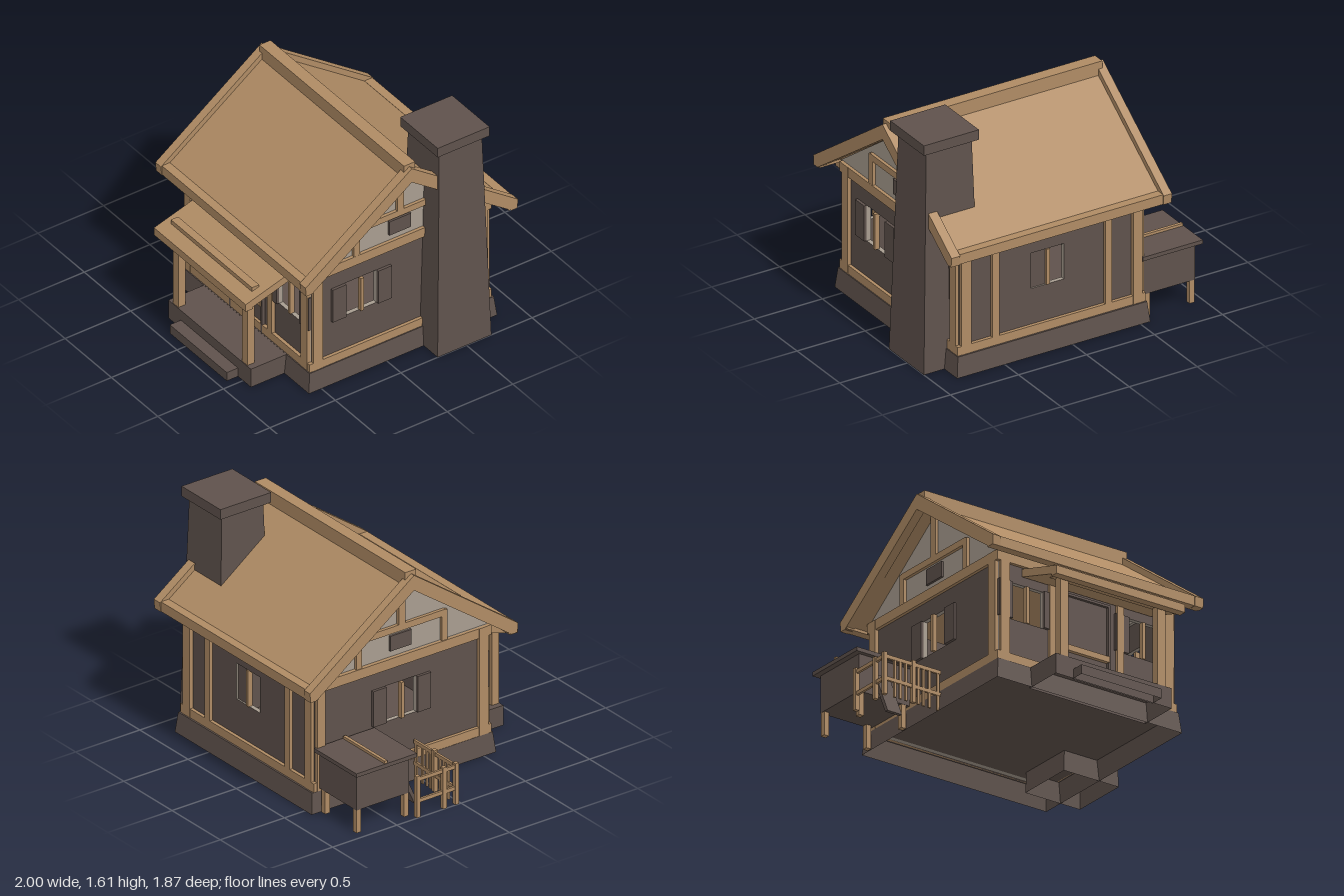
import * as THREE from 'three';

const paint = (name, color) => {
  const m = new THREE.MeshStandardMaterial({ color });
  m.name = name;
  return m;
};

export function createModel() {
  const house = new THREE.Group();
  house.name = 'cottage';
  const wood = paint('timber', 0xaf8b64);
  const stone = paint('dark stone', 0x5f524c);
  stone.side = THREE.DoubleSide; // the stone base and chimney are open underneath
  const plaster = paint('plaster', 0xa89d90);

  const add = (name, geometry, material, parent = house) => {
    const mesh = new THREE.Mesh(geometry, material);
    mesh.name = name;
    parent.add(mesh);
    return mesh;
  };
  const group = (name) => {
    const g = new THREE.Group();
    g.name = name;
    house.add(g);
    return g;
  };
  // box given by its extents
  const box = (name, mat, x0, x1, y0, y1, z0, z1, parent) => {
    const g = new THREE.BoxGeometry(x1 - x0, y1 - y0, z1 - z0);
    g.translate((x0 + x1) / 2, (y0 + y1) / 2, (z0 + z1) / 2);
    return add(name, g, mat, parent);
  };
  // stone box without a bottom, its top inset on every side
  const hollow = (name, x0, x1, y0, y1, z0, z1, inset = 0) => {
    const { geometry } = box(name, stone, x0, x1, y0, y1, z0, z1);
    const p = geometry.attributes.position;
    for (let i = 0; i < p.count; i++) {
      if (p.getY(i) < (y0 + y1) / 2) continue;
      p.setX(i, p.getX(i) + (p.getX(i) < (x0 + x1) / 2 ? inset : -inset));
      p.setZ(i, p.getZ(i) + (p.getZ(i) < (z0 + z1) / 2 ? inset : -inset));
    }
    const index = Array.from(geometry.index.array);
    index.splice(18, 6);
    geometry.setIndex(index);
    geometry.clearGroups();
    geometry.computeVertexNormals();
  };
  const extrude = (shape, depth) => new THREE.ExtrudeGeometry(shape, { depth, bevelEnabled: false });
  const outline = (pts) => new THREE.Shape(pts.map(([a, b]) => new THREE.Vector2(a, b)));
  // [z, y] profile extruded from x0 to x1
  const across = (shape, x0, x1) => extrude(shape, x1 - x0).rotateY(-Math.PI / 2).translate(x1, 0, 0);

  // Foundation, porch floor, step
  hollow('foundation', -0.57, 0.85, 0, 0.14, -0.84, 0.595, 0.015);
  hollow('porchFloor', -0.305, 0.585, 0, 0.139, 0.57, 0.85);
  hollow('porchStep', -0.17, 0.445, 0, 0.065, 0.84, 0.935);

  // Walls with window openings
  const half = 0.12, sill = 0.45, head = 0.7, thick = 0.03;
  const wallShape = (u0, u1, centres) => {
    const s = outline([[u0, 0.14], [u1, 0.14], [u1, 0.89], [u0, 0.89]]);
    for (const c of centres) {
      const h = [[c - half, sill], [c - half, head], [c + half, head], [c + half, sill]];
      s.holes.push(new THREE.Path(h.map(([a, b]) => new THREE.Vector2(a, b))));
    }
    return s;
  };
  const frontWindows = [-0.31, 0.585], backWindow = 0.155;
  const faces = [stone, plaster];
  add('frontWall', extrude(wallShape(-0.53, 0.805, frontWindows), thick).translate(0, 0, 0.52), faces);
  add('backWall', extrude(wallShape(-0.53, 0.805, [backWindow]), thick).translate(0, 0, -0.79), faces);
  add('rightWall', across(wallShape(-0.789, 0.549, [0.17]), 0.776, 0.806), faces);
  add('leftWall', across(wallShape(-0.789, 0.549, [-0.12]), -0.531, -0.501), faces);

  // Window bars and open shutters
  for (const c of frontWindows) {
    box('windowBar', wood, c - 0.012, c + 0.012, sill, head, 0.525, 0.56);
    for (const s of [-1, 1]) {
      const m = c + s * 0.173;
      box('shutter', stone, m - 0.052, m + 0.052, sill, head, 0.545, 0.57);
    }
  }
  box('windowBar', wood, backWindow - 0.012, backWindow + 0.012, sill, head, -0.8, -0.765);
  box('windowPanel', stone, backWindow, backWindow + half, sill, head, -0.78, -0.765);
  for (const [c, x0, x1] of [[0.17, 0.8, 0.825], [-0.12, -0.55, -0.525]]) {
    box('windowBar', wood, x0 - 0.005, x1 + 0.002, sill, head, c - 0.012, c + 0.012);
    for (const s of [-1, 1]) {
      const m = c + s * 0.173;
      box('shutter', stone, x0, x1, sill, head, m - 0.052, m + 0.052);
    }
  }

  // Timber frame: boards on each face, leaving the wall corners notched
  const frame = group('timberFrame');
  for (const [z0, z1] of [[0.54, 0.575], [-0.815, -0.78]]) {
    for (const [x0, x1] of [[-0.527, -0.46], [0.73, 0.802]]) box('cornerPost', wood, x0, x1, 0.14, 0.89, z0, z1, frame);
    for (const [y0, y1] of [[0.14, 0.2], [0.822, 0.89]]) box('longBeam', wood, -0.55, 0.826, y0, y1, z0 + 0.002, z1 - 0.002, frame);
  }
  for (const [x0, x1] of [[0.795, 0.83], [-0.555, -0.52]]) {
    for (const [z0, z1] of [[-0.786, -0.72], [0.475, 0.546]]) box('cornerPost', wood, x0, x1, 0.14, 0.89, z0, z1, frame);
    for (const [y0, y1] of [[0.14, 0.2], [0.822, 0.89]]) box('sideBeam', wood, x0 + 0.002, x1 - 0.002, y0, y1, -0.811, 0.571, frame);
  }
  for (const x of [-0.125, 0.395]) box('doorSidePost', wood, x - 0.025, x + 0.025, 0.2, 0.822, 0.53, 0.575, frame);
  for (const x of [0.55, -0.28]) box('backPost', wood, x - 0.025, x + 0.025, 0.2, 0.822, -0.815, -0.77, frame);

  // Door between raised jambs, with a timber bar
  for (const x of [-0.033, 0.307]) box('doorJamb', stone, x - 0.008, x + 0.008, 0.14, 0.73, 0.54, 0.575);
  box('doorLintel', stone, -0.041, 0.315, 0.72, 0.736, 0.54, 0.575);
  box('door', stone, -0.025, 0.3, 0.15, 0.72, 0.54, 0.556);
  box('doorBar', wood, -0.03, 0.305, 0.34, 0.38, 0.55, 0.582);

  // Gables with timbers and vents, mirrored on both ends
  const ridgeZ = -0.12;
  const gable = outline([[-0.84, 0.88], [0.6, 0.88], [ridgeZ, 1.4]]);
  for (const side of [-1, 1]) {
    const at = (d0, d1) => (side > 0 ? [0.805 + d0, 0.805 + d1] : [-0.525 - d1, -0.525 - d0]);
    add('gable', across(gable, ...at(-0.05, 0)), plaster);
    const t = at(-0.01, 0.022);
    box('kingPost', wood, ...t, 1.1, 1.4, ridgeZ - 0.025, ridgeZ + 0.025);
    box('gableTie', wood, ...t, 1.06, 1.105, ridgeZ - 0.34, ridgeZ + 0.34);
    for (const s of [-1, 1]) {
      const z = ridgeZ + s * 0.333;
      box('gableStud', wood, ...t, 0.885, 1.1, z - 0.022, z + 0.022);
    }
    box('gableVent', stone, ...at(-0.01, 0.015), 0.935, 1.04, -0.205, -0.04);
  }

  // Main roof: sheet, raised end boards, eave boards and ridge beam.
  // Each profile lists one side from the underside of the ridge to its top.
  const chevron = (right) => outline([
    ...right.map(([d, y]) => [ridgeZ + d, y]),
    ...right.slice(1, -1).reverse().map(([d, y]) => [ridgeZ - d, y]),
  ]);
  const sheet = chevron([[0, 1.4], [0.75, 0.865], [0.75, 0.913], [0, 1.449]]);
  const endBoard = chevron([[0, 1.39], [0.76, 0.85], [0.805, 0.85], [0.81, 0.915], [0, 1.496]]);
  add('roofSheet', across(sheet, -0.62, 0.89), wood);
  add('roofEndBoard', across(endBoard, -0.672, -0.612), wood);
  add('roofEndBoard', across(endBoard, 0.884, 0.948), wood);
  for (const s of [-1, 1]) {
    const a = ridgeZ + s * 0.742, b = ridgeZ + s * 0.802;
    box('eaveBoard', wood, -0.668, 0.943, 0.852, 0.92, Math.min(a, b), Math.max(a, b));
  }
  box('ridgeBeam', wood, -0.64, 0.92, 1.42, 1.515, -0.165, -0.08);

  // Chimney
  hollow('chimney', 0.58, 1.0, 0, 1.55, -0.69, -0.28, 0.043);
  hollow('chimneyCap', 0.59, 0.994, 1.54, 1.61, -0.68, -0.285);

  // Porch roof on two posts
  const porchRoof = outline([[0.56, 0.755], [0.87, 0.66], [0.87, 0.645], [0.925, 0.645], [0.925, 0.7], [0.56, 0.81]]);
  add('porchRoof', across(porchRoof, -0.355, 0.635), wood);
  box('porchRoofBatten', wood, -0.3, 0.575, 0.68, 0.757, 0.78, 0.835);
  for (const x of [-0.235, 0.51]) box('porchPost', wood, x - 0.03, x + 0.03, 0.139, 0.69, 0.79, 0.845);

  // Small animal hutch on legs, with ramp
  const hutch = group('hutch');
  box('hutchBody', stone, -0.94, -0.55, 0.16, 0.42, -0.77, -0.36, hutch);
  box('hutchRoof', stone, -0.98, -0.54, 0.415, 0.442, -0.8, -0.33, hutch);
  box('hutchRidge', wood, -0.975, -0.545, 0.44, 0.46, -0.577, -0.555, hutch);
  for (const x of [-0.92, -0.595])
    for (const z of [-0.75, -0.38]) box('hutchLeg', wood, x - 0.018, x + 0.018, 0, 0.17, z - 0.018, z + 0.018, hutch);
  const ramp = outline([[-0.365, 0.285], [-0.235, 0], [-0.21, 0], [-0.34, 0.298]]);
  add('hutchRamp', across(ramp, -0.83, -0.72), stone, hutch);

  // Fence around the yard
  const fence = group('fence');
  for (const [x, z] of [[-0.985, -0.33], [-0.985, -0.125], [-0.985, -0.03], [-0.765, -0.03]])
    box('fencePost', wood, x - 0.014, x + 0.014, 0, 0.288, z - 0.014, z + 0.014, fence);
  for (const y of [0.1, 0.25]) {
    box('frontRail', wood, -0.985, -0.555, y, y + 0.025, -0.038, -0.022, fence);
    box('sideRail', wood, -0.993, -0.977, y, y + 0.025, -0.33, -0.03, fence);
  }
  for (const x of [-0.905, -0.865, -0.82, -0.725, -0.685, -0.64, -0.575])
    box('picket', wood, x - 0.009, x + 0.009, 0, 0.25, -0.036, -0.024, fence);

  return house;
}
